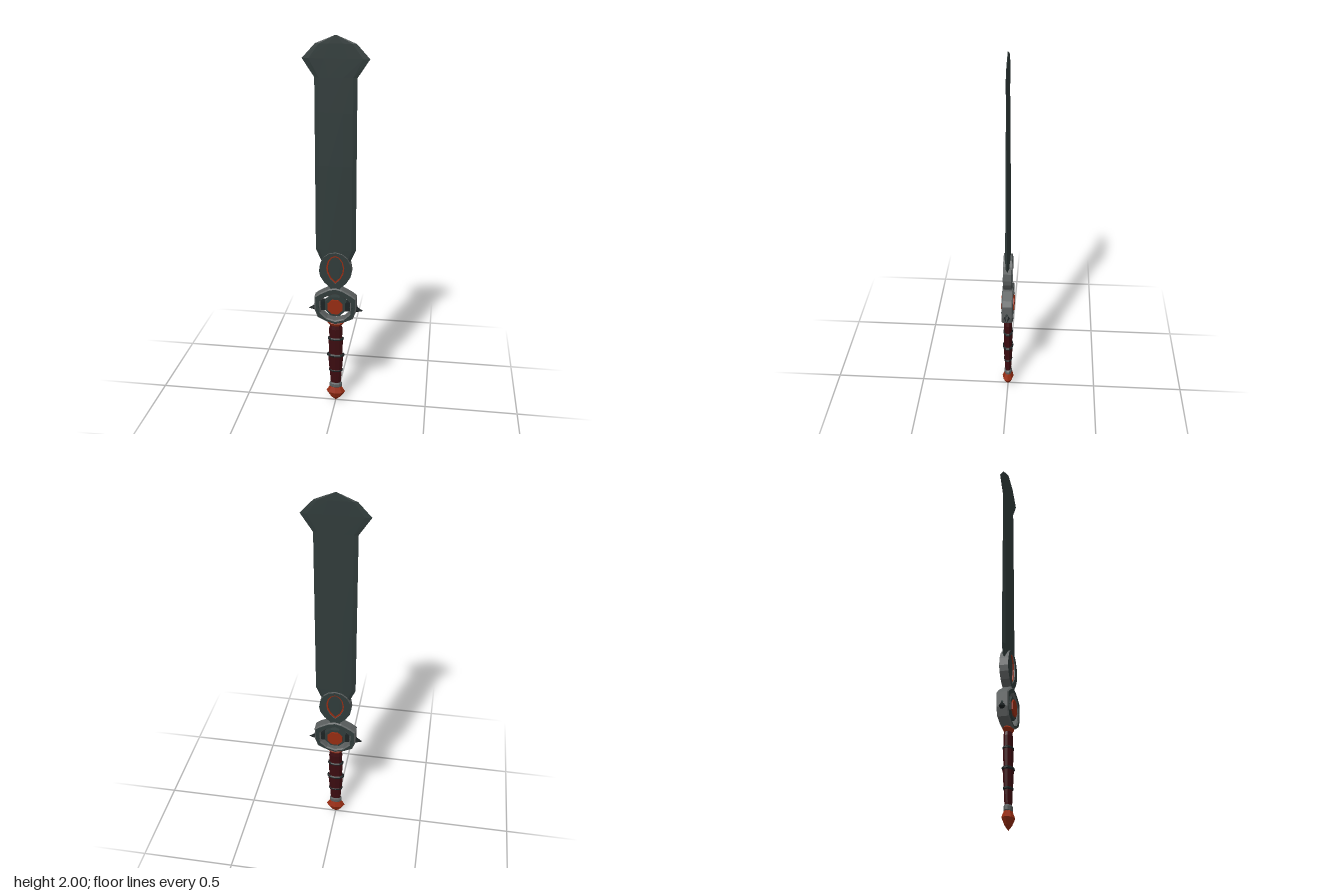
import * as THREE from 'three';

const flat = (name, color) => {
  const m = new THREE.MeshStandardMaterial({ color, flatShading: true });
  m.name = name;
  return m;
};

export function createModel() {
  const root = new THREE.Group();
  root.name = 'sword';
  const steel = flat('dark steel', 0x303b3a);
  const grey = flat('worn grey', 0x5c6060);
  const black = flat('black iron', 0x1c2223);
  const ember = flat('ember orange', 0x962c12);
  const leather = flat('dark red leather', 0x3c0c10);

  const add = (name, geo, mat) => {
    const mesh = new THREE.Mesh(geo, mat);
    mesh.name = name;
    root.add(mesh);
    return mesh;
  };
  // closed outline mirrored across x = 0; points run up the +x side
  const mirrored = (pts, Type = THREE.Shape) => new Type([
    ...pts.map(([x, y]) => new THREE.Vector2(x, y)),
    ...pts.filter(([x]) => x > 0).reverse().map(([x, y]) => new THREE.Vector2(-x, y)),
  ]);
  // plate of half thickness h, centred on z = 0
  const plate = (outer, holes, h, bevel = 0) => {
    const shape = mirrored(outer);
    holes.forEach(p => shape.holes.push(mirrored(p, THREE.Path)));
    const geo = new THREE.ExtrudeGeometry(shape, {
      depth: 2 * (h - bevel), bevelEnabled: bevel > 0, bevelSegments: 1,
      bevelThickness: bevel, bevelSize: bevel, bevelOffset: -bevel,
    });
    return geo.translate(0, 0, -(h - bevel));
  };
  // flattened turned part
  const turned = (name, pts, mat, sides = 10, depth = 0.6) => {
    const geo = new THREE.LatheGeometry(pts.map(([r, y]) => new THREE.Vector2(r, y)), sides);
    return add(name, geo.scale(1, 1, depth), mat);
  };

  // blade: lens sections [y, half width, half thickness]
  const stations = [
    [0.71, 0.02, 0.012], [0.75, 0.045, 0.013], [0.83, 0.07, 0.013], [0.91, 0.105, 0.013],
    [1.36, 0.105, 0.011], [1.63, 0.105, 0.008], [1.8, 0.105, 0.006],
    [1.89, 0.165, 0.005], [1.96, 0.1, 0.004], [2, 0.002, 0.002],
  ];
  const section = [[1, 0], [0.8, 0.75], [0.35, 1], [-0.35, 1], [-0.8, 0.75],
    [-1, 0], [-0.8, -0.75], [-0.35, -1], [0.35, -1], [0.8, -0.75]];
  const pos = [], idx = [], n = section.length;
  stations.forEach(([y, w, t], i) => section.forEach(([sx, sz], j) => {
    pos.push(sx * w, y, sz * t);
    if (i < stations.length - 1) {
      const a = i * n + j, b = i * n + (j + 1) % n;
      idx.push(a, a + n, b, b, a + n, b + n);
    }
  }));
  const bladeGeo = new THREE.BufferGeometry();
  bladeGeo.setAttribute('position', new THREE.Float32BufferAttribute(pos, 3));
  bladeGeo.setIndex(idx);
  bladeGeo.computeVertexNormals();
  add('blade', bladeGeo, steel);

  // teardrop frame holding the blade root, with its ember lining
  const drop = [[0, 0.725], [0.028, 0.752], [0.044, 0.785], [0.048, 0.815], [0.04, 0.85], [0.022, 0.875], [0, 0.884]];
  add('bladeFrame', plate(
    [[0, 0.67], [0.025, 0.68], [0.026, 0.7], [0.058, 0.73], [0.08, 0.765], [0.086, 0.795],
      [0.08, 0.835], [0.062, 0.87], [0.035, 0.892], [0, 0.9]], [drop], 0.023), [steel, grey]);
  const inner = drop.map(([x, y]) => [x * 0.84, 0.805 + (y - 0.805) * 0.9]);
  add('frameLining', plate(drop, [inner], 0.018), ember);

  // guard ring around the jewel
  add('guardRing', plate(
    [[0, 0.488], [0.045, 0.5], [0.095, 0.525], [0.112, 0.57], [0.112, 0.645], [0.085, 0.665], [0.035, 0.692], [0, 0.7]],
    [[[0, 0.51], [0.045, 0.523], [0.078, 0.555], [0.08, 0.62], [0.055, 0.645], [0, 0.668]]],
    0.03, 0.006), [steel, grey]);
  add('jewelBar', plate([[0, 0.565], [0.1, 0.565], [0.1, 0.615], [0, 0.615]], [], 0.018), black);

  // jewel in an octagonal housing, seen on both faces
  const disc = (name, r, h, mat, taper = 1) => {
    for (const s of [1, -1]) {
      const geo = new THREE.CylinderGeometry(r * taper, r, h, 8).rotateY(Math.PI / 8)
        .rotateX(s * Math.PI / 2).translate(0, 0.593, s * h / 2);
      add(name, geo, mat);
    }
  };
  disc('jewelHousing', 0.064, 0.027, steel, 0.92);
  disc('jewel', 0.046, 0.035, ember, 0.95);

  // side spikes and their cheek blocks
  for (const s of [1, -1]) {
    const geo = new THREE.ConeGeometry(1, 0.065, 6).rotateZ(-s * Math.PI / 2);
    const p = geo.attributes.position;
    for (let i = 0; i < p.count; i++) {
      const out = (s * p.getX(i) + 0.0325) / 0.065;
      p.setXYZ(i, p.getX(i) + s * 0.1155, 0.579 + p.getY(i) * 0.026 - out * 0.014, p.getZ(i) * 0.031);
    }
    geo.computeVertexNormals();
    add('guardSpike', geo, black);
    const cheek = new THREE.OctahedronGeometry(1).scale(0.028, 0.055, 0.034).translate(s * 0.09, 0.59, 0);
    add('guardCheek', cheek, steel);
  }

  // grip, bands, collars and pommel
  turned('upperCollar', [[0.022, 0.455], [0.03, 0.47], [0.046, 0.488], [0.03, 0.5], [0, 0.506]], ember);
  turned('grip', [[0.026, 0.1], [0.03, 0.13], [0.034, 0.19], [0.036, 0.2], [0.043, 0.285], [0.037, 0.3],
    [0.041, 0.385], [0.036, 0.4], [0.038, 0.45], [0.03, 0.475]], leather);
  for (const [y, r] of [[0.195, 0.04], [0.29, 0.05], [0.39, 0.045]]) {
    turned('gripBand', [[r - 0.01, y - 0.009], [r, y - 0.003], [r, y + 0.003], [r - 0.01, y + 0.009]], black);
  }
  turned('lowerCollar', [[0.028, 0.085], [0.036, 0.093], [0.036, 0.11], [0.026, 0.12]], grey);
  turned('pommel', [[0, 0], [0.03, 0.025], [0.053, 0.058], [0.036, 0.085], [0.028, 0.097], [0, 0.1]], ember, 8);

  return root;
}
